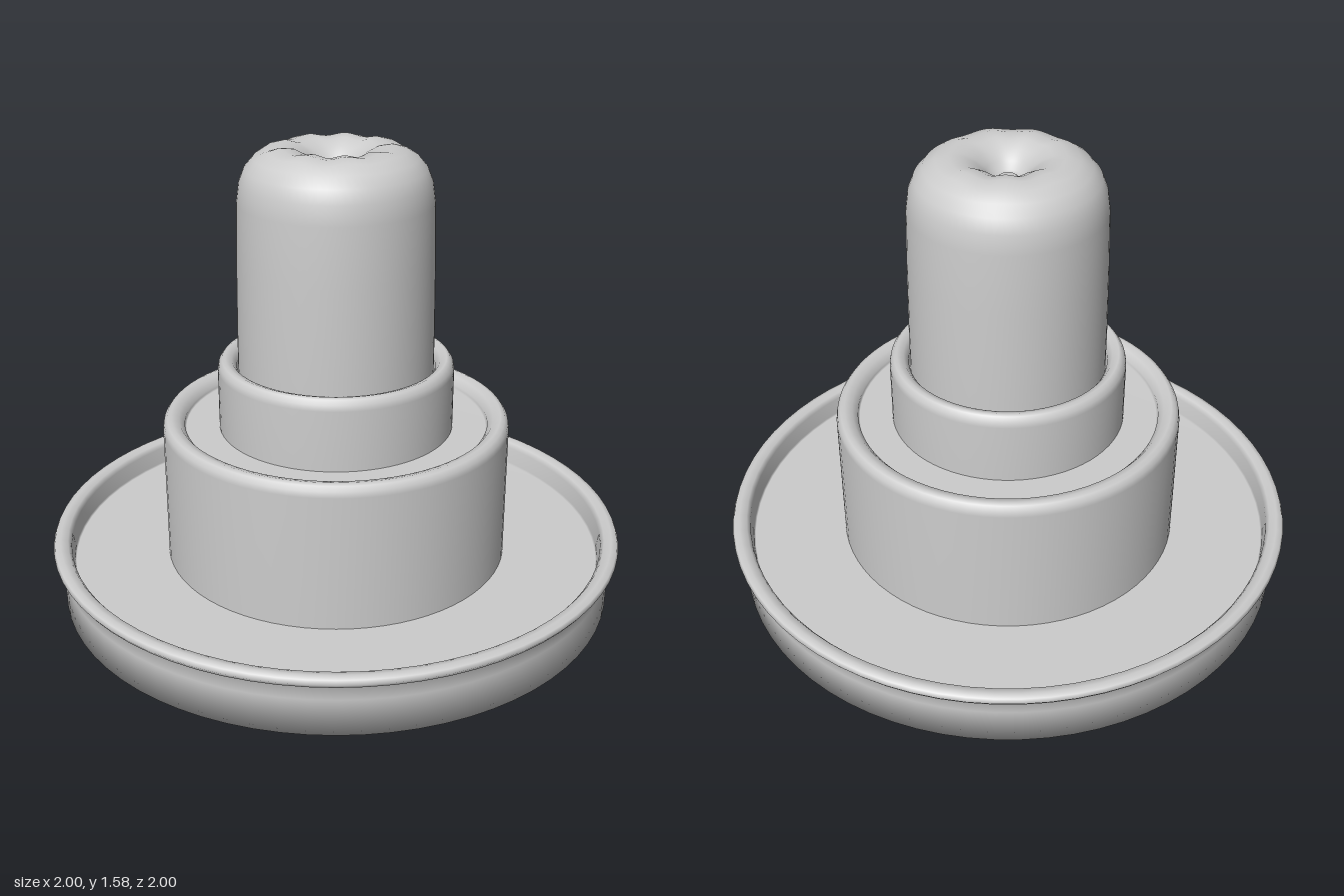
import * as THREE from 'three';

const SEGMENTS = 72;

// Turn a profile of [radius, height] points, running from the bottom up and inward
function turned(name, profile, material) {
  const points = profile.map(([r, y]) => new THREE.Vector2(r, y));
  const mesh = new THREE.Mesh(new THREE.LatheGeometry(points, SEGMENTS), material);
  mesh.name = name;
  return mesh;
}

// Straight-sided tier with a rounded rim around a shallow recessed floor
function tier(name, radius, bottom, top, rim, depth, material) {
  const inner = radius - rim;
  const floor = top - depth;
  return turned(name, [
    [radius, bottom], [radius, bottom + 0.03], [radius, top - 0.04],
    [radius - 0.004, top - 0.02], [radius - 0.015, top - 0.005],
    [radius - rim * 0.4, top], [radius - rim * 0.75, top - 0.008],
    [inner, top - 0.03], [inner, floor + 0.005], [inner - 0.005, floor], [0.2, floor],
  ], material);
}

export function createModel() {
  const model = new THREE.Group();
  model.name = 'tieredStand';
  const grey = new THREE.MeshStandardMaterial({ color: 0xcccccc });
  grey.name = 'light grey';

  // Wide tray with a rolled lip and a sunken floor
  model.add(turned('tray', [
    [0, 0], [0.5, 0.006], [0.968, 0.012], [0.97, 0.14], [0.972, 0.19],
    [0.99, 0.198], [1, 0.212], [0.994, 0.226], [0.975, 0.232], [0.95, 0.226],
    [0.938, 0.21], [0.932, 0.15], [0.926, 0.145], [0.3, 0.145],
  ], grey));

  // Two stacked tiers
  model.add(tier('lowerTier', 0.6, 0.14, 0.655, 0.075, 0.045, grey));
  model.add(tier('upperTier', 0.405, 0.6, 0.86, 0.065, 0.06, grey));

  // Tall column with rounded shoulders and a dimpled crown
  const column = turned('column', [
    [0.335, 0.79], [0.335, 0.95], [0.332, 1.2], [0.327, 1.4], [0.318, 1.465],
    [0.3, 1.51], [0.27, 1.545], [0.23, 1.569], [0.185, 1.58], [0.14, 1.575],
    [0.1, 1.555], [0.07, 1.528], [0.05, 1.505], [0.035, 1.5], [0, 1.5],
  ], grey);

  // Gentle pleats gathered into the dimple
  const position = column.geometry.attributes.position;
  for (let i = 0; i < position.count; i++) {
    const x = position.getX(i), z = position.getZ(i), r = Math.hypot(x, z);
    if (r < 0.06 || r > 0.29) continue;
    const fade = Math.sin(Math.PI * (r - 0.06) / 0.23);
    position.setY(i, position.getY(i) + 0.005 * fade * Math.cos(9 * Math.atan2(z, x)));
  }
  model.add(column);

  // Small button at the bottom of the dimple
  model.add(turned('crownButton', [
    [0.03, 1.495], [0.03, 1.506], [0.022, 1.512], [0, 1.513],
  ], grey));

  return model;
}
